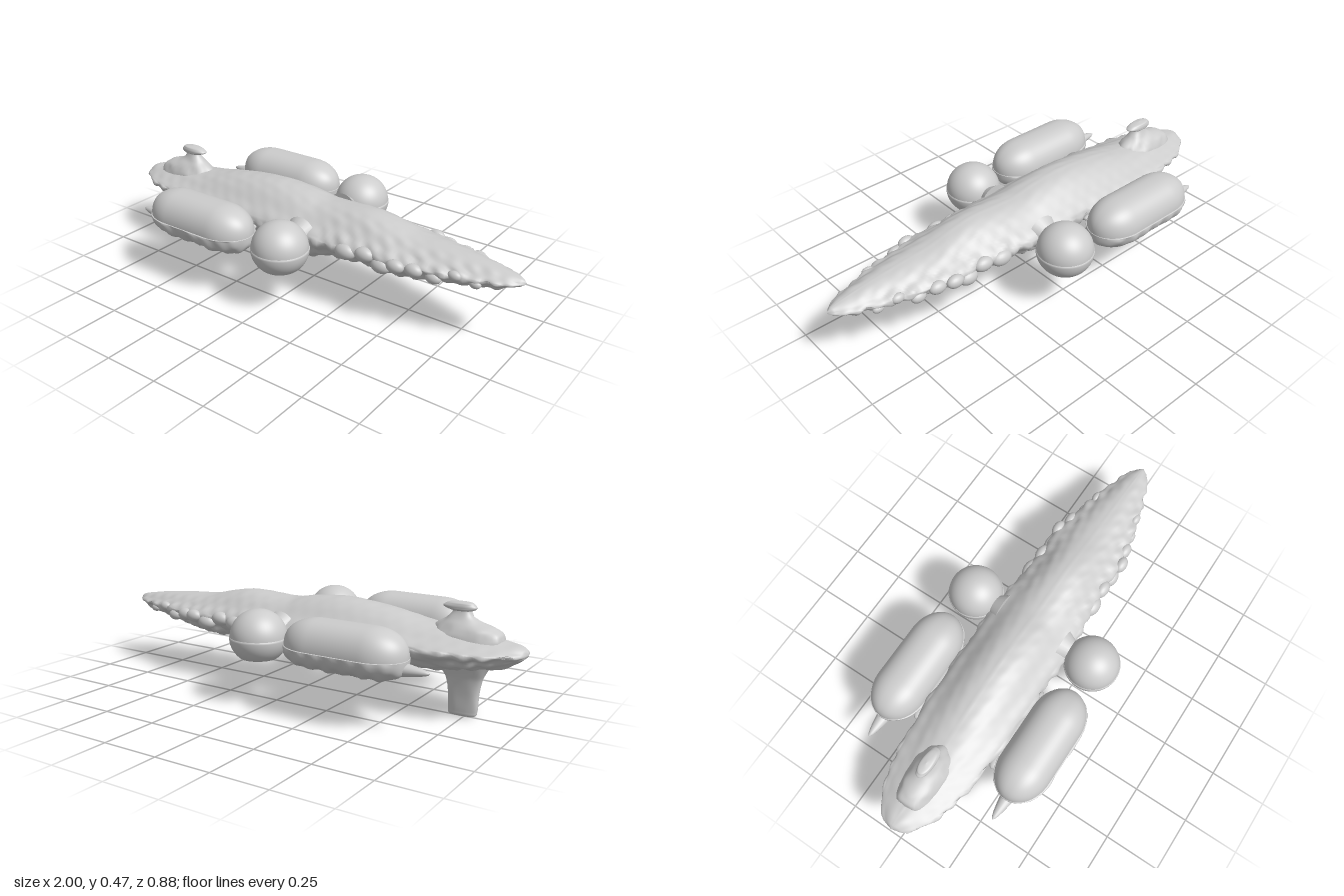
import * as THREE from 'three';

const shell = new THREE.MeshStandardMaterial({ color: 0xcccccc });
shell.name = 'pale grey';

// Smooth interpolation through rows of [t, a, b, ...].
function curve(rows, t) {
  let i = 0;
  while (i < rows.length - 2 && t > rows[i + 1][0]) i++;
  const a = rows[i], b = rows[i + 1], p = rows[Math.max(i - 1, 0)], q = rows[Math.min(i + 2, rows.length - 1)];
  const h = b[0] - a[0], s = Math.min(1, Math.max(0, (t - a[0]) / h));
  return a.slice(1).map((v, k) => {
    const m0 = (b[k + 1] - p[k + 1]) / (b[0] - p[0]) * h;
    const m1 = (q[k + 1] - a[k + 1]) / (q[0] - a[0]) * h;
    const d = b[k + 1] - v;
    return v + s * (m0 + s * (3 * d - 2 * m0 - m1 + s * (m0 + m1 - 2 * d)));
  });
}

// Closed surface from rings: point(u, v) with u along the part, v around it.
function loft(name, nu, nv, point) {
  const pos = [], index = [];
  for (let i = 0; i <= nu; i++)
    for (let j = 0; j < nv; j++) pos.push(...point(i / nu, j / nv));
  for (let i = 0; i < nu; i++)
    for (let j = 0; j < nv; j++) {
      const k = (j + 1) % nv, a = i * nv + j, b = a + nv, c = i * nv + k, d = c + nv;
      index.push(a, b, c, b, d, c);
    }
  const g = new THREE.BufferGeometry();
  g.setAttribute('position', new THREE.Float32BufferAttribute(pos, 3));
  g.setIndex(index);
  g.computeVertexNormals();
  const mesh = new THREE.Mesh(g, shell);
  mesh.name = name;
  return mesh;
}

// Soft rocky bumps between about -1 and 1, mirrored across z.
function bumps(x, y, z) {
  z = Math.abs(z);
  return 0.45 * Math.sin(31 * x + 9 * Math.sin(13 * z + 2)) * Math.cos(37 * z + 15 * y + 1)
    + 0.35 * Math.sin(57 * x + 24 * z + 3) * Math.cos(44 * y - 29 * x)
    + 0.3 * Math.sin(83 * x - 49 * z + 40 * y);
}

// Hull stations: x, half width, top y, bottom y.
const STATIONS = [
  [-1, 0, 0.30, 0.29], [-0.985, 0.05, 0.315, 0.275], [-0.94, 0.098, 0.327, 0.245], [-0.8, 0.154, 0.345, 0.212],
  [-0.6, 0.185, 0.372, 0.19], [-0.4, 0.197, 0.41, 0.177], [-0.2, 0.2, 0.43, 0.17], [-0.08, 0.2, 0.424, 0.155],
  [0, 0.2, 0.413, 0.137], [0.06, 0.197, 0.402, 0.145], [0.15, 0.19, 0.403, 0.175], [0.3, 0.178, 0.41, 0.19],
  [0.4, 0.172, 0.395, 0.187], [0.52, 0.17, 0.368, 0.19], [0.65, 0.142, 0.357, 0.213], [0.8, 0.103, 0.343, 0.237],
  [0.92, 0.066, 0.326, 0.26], [0.98, 0.03, 0.313, 0.28], [1, 0, 0.30, 0.295]];

// Half section from ridge to keel: t, width fraction, height fraction.
const SECTION = [
  [0, 0, 1], [0.12, 0.25, 0.94], [0.23, 0.48, 0.76], [0.34, 0.72, 0.45], [0.42, 0.9, 0.24], [0.5, 1, 0],
  [0.57, 0.95, -0.24], [0.65, 0.79, -0.42], [0.74, 0.68, -0.68], [0.84, 0.46, -0.88], [0.92, 0.24, -0.97], [1, 0, -1]];

function hull() {
  return loft('hull', 180, 96, (u, v) => {
    const x = -Math.cos(u * Math.PI);
    const [w, top, bottom] = curve(STATIONS, x);
    const [a, b] = curve(SECTION, v < 0.5 ? v * 2 : 2 - v * 2);
    const side = v < 0.5 ? -1 : 1;
    const rim = 0.292;
    let y = rim + b * (b > 0 ? top - rim : rim - bottom), z = side * a * w;
    const end = Math.min(1, w / 0.08);
    const rough = b < 0.1 ? 0.011 : (x > 0.15 ? 0.009 * a : 0.002);
    const n = bumps(x, y, z) * rough * end;
    return [x, y + n * (b > 0 ? 0.7 : -0.8), z + side * n * a * (b < 0.5 ? 1 : 0.3)];
  });
}

// Long pod: smooth dome over a rugged, slightly wider keel.
function podPart(name, up, down, half, len, rough) {
  return loft(name, 64, 56, (u, v) => {
    const c = -Math.cos(u * Math.PI), x = c * len;
    const past = Math.max(0, (Math.abs(x) - (len - 0.15)) / 0.15);
    const k = Math.sqrt(Math.max(0, 1 - past * past));
    const t = v * Math.PI * 2, s = -Math.sin(t), q = Math.cos(t);
    const z = half * k * Math.sign(s) * Math.pow(Math.abs(s), 0.85);
    const y = (q > 0 ? up * Math.pow(k, 0.85) : down * Math.pow(k, 0.5)) * q;
    const n = 1 + (q < 0 ? bumps(x, y, z + 0.3) * rough : 0);
    return [x, y * n, z * (1 + (n - 1) * 0.4)];
  });
}

function longPod() {
  const g = new THREE.Group();
  g.name = 'longPod';
  g.add(podPart('podDome', 0.115, 0.05, 0.117, 0.27, 0));
  g.add(podPart('podKeel', 0.006, 0.085, 0.122, 0.272, 0.14));
  // Pointed tail behind the keel
  const tail = loft('podTail', 16, 20, (u, v) => {
    const t = v * Math.PI * 2, r = 0.036 * Math.pow(u, 0.55);
    return [-0.365 + u * 0.15, -0.035 + 0.9 * r * Math.cos(t), -r * Math.sin(t)];
  });
  g.add(tail);
  g.position.set(-0.375, 0.29, 0);
  return g;
}

// Round pod with a seam and a dished underside.
function roundPod() {
  const g = new THREE.Group();
  g.name = 'roundPod';
  const dome = [], bowl = [];
  for (let i = 0; i <= 20; i++) {
    const t = i / 20 * Math.PI / 2;
    dome.push(new THREE.Vector2(0.121 * Math.cos(t), 0.117 * Math.sin(t)));
  }
  bowl.push(new THREE.Vector2(0, -0.074), new THREE.Vector2(0.04, -0.076), new THREE.Vector2(0.055, -0.086));
  for (let i = 0; i <= 14; i++) {
    const t = -0.86 + i / 14 * 0.86;
    bowl.push(new THREE.Vector2(0.124 * Math.cos(t), 0.116 * Math.sin(t)));
  }
  bowl.push(new THREE.Vector2(0.119, 0.003));
  [['ballDome', dome], ['ballBowl', bowl]].forEach(([name, pts]) => {
    const m = new THREE.Mesh(new THREE.LatheGeometry(pts, 48), shell);
    m.name = name;
    g.add(m);
  });
  g.position.set(0.05, 0.286, 0);
  return g;
}

// Upright part from rows: y, centre x, half length x, half width z.
function upright(name, rows, rough, square) {
  const y0 = rows[0][0], y1 = rows[rows.length - 1][0];
  return loft(name, 40, 36, (u, v) => {
    const y = y0 + (y1 - y0) * u, t = v * Math.PI * 2;
    const [cx, rx, rz] = curve(rows, y);
    const c = Math.cos(t), s = Math.sin(t);
    const n = 1 + rough * bumps(cx + rx * c, y, rz * s);
    return [cx + rx * n * Math.sign(c) * Math.pow(Math.abs(c), square), y,
      rz * n * Math.sign(s) * Math.pow(Math.abs(s), square)];
  });
}

export function createModel() {
  const model = new THREE.Group();
  model.add(hull());

  // Pods and their short connecting struts on both flanks
  for (const side of [-1, 1]) {
    const pod = longPod(), ball = roundPod();
    pod.position.z = side * 0.317;
    ball.position.z = side * 0.305;
    const strut = new THREE.Mesh(new THREE.CylinderGeometry(0.03, 0.075, 0.07, 24), shell);
    strut.name = 'ballStrut';
    strut.rotation.x = side * Math.PI / 2;
    strut.position.set(0.045, 0.29, side * 0.19);
    const brace = new THREE.Mesh(new THREE.SphereGeometry(1, 24, 16), shell);
    brace.name = 'podBrace';
    brace.scale.set(0.2, 0.03, 0.045);
    brace.position.set(-0.37, 0.27, side * 0.195);
    model.add(pod, ball, strut, brace);
  }

  // Rugged outcrops along the bow flanks
  [[0.28, 0.165, 0.05], [0.37, 0.16, 0.045], [0.45, 0.16, 0.045], [0.52, 0.168, 0.04], [0.59, 0.145, 0.04],
    [0.67, 0.125, 0.035], [0.75, 0.105, 0.03], [0.83, 0.085, 0.025]].forEach(([x, z, r], i) => {
    for (const side of [-1, 1]) {
      const rock = new THREE.Mesh(new THREE.SphereGeometry(1, 20, 14), shell);
      rock.name = 'bowOutcrop';
      rock.scale.set(r, r * 0.7, r * 0.65);
      rock.position.set(x, 0.28 + 0.015 * Math.sin(i * 2.3), side * z);
      model.add(rock);
    }
  });

  // Fin under the stern
  model.add(upright('sternFin', [
    [0, -0.74, 0, 0], [0.004, -0.74, 0.05, 0.018], [0.02, -0.742, 0.06, 0.022], [0.1, -0.745, 0.066, 0.027],
    [0.16, -0.743, 0.076, 0.033], [0.19, -0.74, 0.092, 0.04], [0.25, -0.74, 0.12, 0.06]], 0.05, 0.7));

  // Tower on the stern deck with an overhanging cap
  model.add(upright('towerBase', [
    [0.3, -0.75, 0.165, 0.09], [0.34, -0.75, 0.15, 0.08], [0.365, -0.75, 0.135, 0.066], [0.385, -0.735, 0.1, 0.052],
    [0.405, -0.72, 0.06, 0.035], [0.43, -0.72, 0.037, 0.022], [0.45, -0.72, 0.035, 0.018]], 0.08, 0.9));
  model.add(upright('towerCap', [
    [0.43, -0.72, 0, 0], [0.436, -0.72, 0.045, 0.024], [0.448, -0.713, 0.07, 0.029],
    [0.46, -0.715, 0.06, 0.027], [0.468, -0.72, 0.042, 0.02], [0.472, -0.72, 0, 0]], 0.06, 0.85));

  return model;
}
